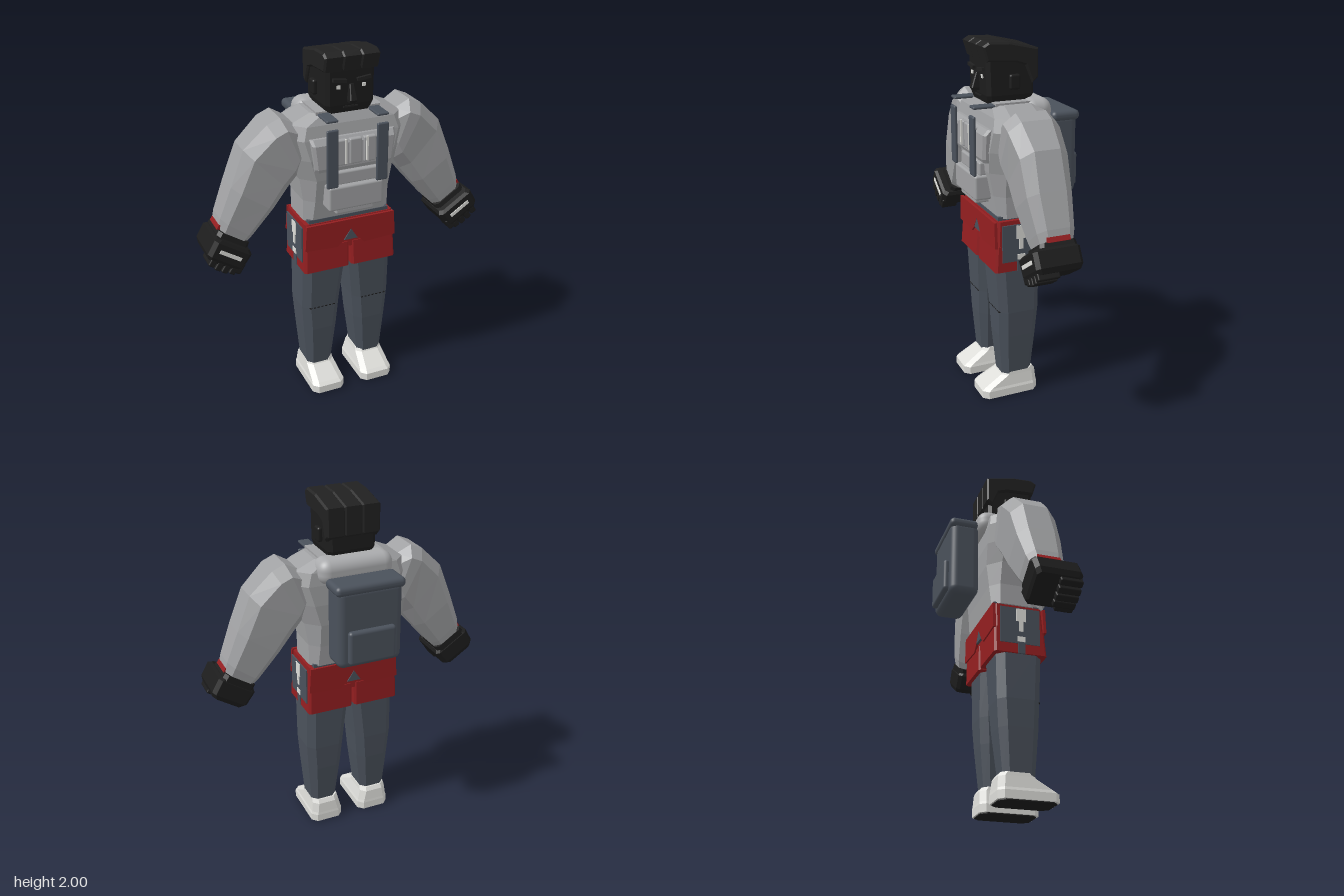
import * as THREE from 'three';
import { RoundedBoxGeometry } from 'three/addons/geometries/RoundedBoxGeometry.js';

const mat = (name, color) => {
  const m = new THREE.MeshStandardMaterial({ color });
  m.name = name;
  return m;
};

export function createModel() {
  const grey = mat('jacket grey', 0xa0a1a3);
  const pale = mat('hood grey', 0xaaabad);
  const slate = mat('slate', 0x4a515b);
  const red = mat('red', 0x931e20);
  const white = mat('off white', 0xdcdcd8);
  const black = mat('black', 0x1c1c1c);
  const hairBlack = mat('hair black', 0x212121);

  const model = new THREE.Group();
  const add = (name, geo, m, parent = model) => {
    const mesh = new THREE.Mesh(geo, m);
    mesh.name = name;
    parent.add(mesh);
    return mesh;
  };
  // box given by its limits on each axis
  const box = (name, m, x0, x1, y0, y1, z0, z1, parent, r = 0) => {
    const d = [Math.abs(x1 - x0), y1 - y0, z1 - z0];
    const geo = r ? new RoundedBoxGeometry(...d, 4, r) : new THREE.BoxGeometry(...d);
    const mesh = add(name, geo, m, parent);
    mesh.position.set((x0 + x1) / 2, (y0 + y1) / 2, (z0 + z1) / 2);
    return mesh;
  };

  // ring with cut corners between points b and a in the xy plane, spanning z0..z1
  const ring = (b, a, z0, z1, c) => {
    const A = new THREE.Vector3(a[0], a[1], 0), B = new THREE.Vector3(b[0], b[1], 0);
    const w = A.distanceTo(B), t = c / w;
    return [[z1, t], [z1, 1 - t], [z1 - c, 1], [z0 + c, 1], [z0, 1 - t], [z0, t], [z0 + c, 0], [z1 - c, 0]]
      .map(([z, k]) => { const p = B.clone().lerp(A, k); p.z = z; return p; });
  };
  // flat-faced skin over a stack of rings
  const loft = (rings) => {
    const n = 8, pos = [];
    const tri = (...p) => p.forEach((v) => pos.push(v.x, v.y, v.z));
    for (let k = 0; k < rings.length - 1; k++) {
      const p = rings[k], q = rings[k + 1];
      for (let i = 0; i < n; i++) {
        const j = (i + 1) % n;
        tri(p[i], p[j], q[j]);
        tri(p[i], q[j], q[i]);
      }
    }
    const s = rings[0], e = rings[rings.length - 1];
    for (let i = 1; i < n - 1; i++) {
      tri(s[0], s[i + 1], s[i]);
      tri(e[0], e[i], e[i + 1]);
    }
    const g = new THREE.BufferGeometry();
    g.setAttribute('position', new THREE.Float32BufferAttribute(pos, 3));
    g.computeVertexNormals();
    return g;
  };
  // level rings: [y, x0, x1, z0, z1, corner], mirrored when s is -1
  const stack = (rows, s = 1) => loft(rows.map(([y, x0, x1, z0, z1, c]) =>
    s > 0 ? ring([x0, y], [x1, y], z0, z1, c) : ring([-x1, y], [-x0, y], z0, z1, c)));

  // head, face and hair
  add('head', stack([
    [1.67, -0.12, 0.12, -0.03, 0.2, 0.02], [1.72, -0.135, 0.135, -0.05, 0.215, 0.02],
    [1.92, -0.135, 0.135, -0.05, 0.22, 0.02]]), black);
  add('nose', stack([
    [1.735, -0.02, 0.02, 0.2, 0.25, 0.006], [1.75, -0.022, 0.022, 0.2, 0.26, 0.006],
    [1.83, -0.012, 0.012, 0.2, 0.23, 0.004]]), black);
  box('mouth', hairBlack, -0.04, 0.04, 1.705, 1.713, 0.21, 0.218);
  const hairSide = new THREE.Shape([[0.215, 1.91], [0.235, 1.975], [0.21, 1.99], [0.1, 1.985], [-0.055, 1.95],
    [-0.055, 1.81], [-0.035, 1.79], [0, 1.88], [0.06, 1.9]].map((p) => new THREE.Vector2(...p)));
  for (const x of [-0.1, 0, 0.1]) {
    const g = new THREE.ExtrudeGeometry(hairSide, {
      depth: 0.084, bevelEnabled: true, bevelSegments: 1, bevelSize: 0.01, bevelThickness: 0.01 });
    g.translate(0, 0, -0.042);
    g.rotateY(-Math.PI / 2);
    add('hairSection', g, hairBlack).position.x = x;
  }

  // jacket body and collar
  add('jacket', stack([
    [1.08, -0.25, 0.25, -0.06, 0.2, 0.04], [1.2, -0.25, 0.25, -0.07, 0.215, 0.05],
    [1.33, -0.27, 0.27, -0.085, 0.24, 0.07], [1.45, -0.315, 0.315, -0.09, 0.25, 0.08],
    [1.56, -0.345, 0.345, -0.085, 0.24, 0.08], [1.63, -0.315, 0.315, -0.075, 0.225, 0.07],
    [1.68, -0.2, 0.2, -0.05, 0.2, 0.05]]), grey);
  box('hood', pale, -0.213, 0.213, 1.56, 1.7, -0.13, 0.03, model, 0.06);
  box('collar', grey, -0.18, 0.18, 1.64, 1.69, -0.05, 0.19);
  box('belt', slate, -0.235, 0.235, 1.03, 1.09, -0.055, 0.205);

  // chest panel and pouches
  add('chestPanel', stack([
    [1.39, -0.215, 0.215, 0.2, 0.27, 0.015], [1.41, -0.22, 0.22, 0.2, 0.28, 0.015],
    [1.54, -0.235, 0.235, 0.2, 0.28, 0.015], [1.57, -0.24, 0.24, 0.2, 0.255, 0.015]]), grey);
  for (const x of [-0.08, 0, 0.08])
    box('chestPocket', grey, x - 0.035, x + 0.035, 1.42, 1.56, 0.26, 0.29, model, 0.008);
  box('middlePouch', grey, -0.14, 0.14, 1.3, 1.375, 0.2, 0.27, model, 0.01);
  box('lowerPouch', grey, -0.155, 0.155, 1.17, 1.305, 0.2, 0.3, model, 0.012);
  box('lowerTab', grey, -0.11, 0.11, 1.14, 1.175, 0.19, 0.285, model, 0.01);

  // backpack
  box('backpack', slate, -0.185, 0.185, 1.15, 1.6, -0.285, -0.12, model, 0.04);
  box('backpackLid', slate, -0.197, 0.197, 1.565, 1.62, -0.293, -0.13, model, 0.025);
  box('backpackPocket', slate, -0.135, 0.135, 1.18, 1.37, -0.313, -0.27, model, 0.018);

  // hips: flaps with a notch, front and back
  add('hips', stack([
    [0.9, -0.265, 0.265, -0.055, 0.222, 0.012], [1.07, -0.258, 0.258, -0.055, 0.212, 0.012]]), red);
  const flap = new THREE.Shape([[-0.268, 0.925], [-0.08, 0.915], [-0.05, 0.945], [0, 1.015], [0.05, 0.945],
    [0.08, 0.915], [0.268, 0.925], [0.258, 1.07], [-0.258, 1.07]].map((p) => new THREE.Vector2(...p)));
  const notch = new THREE.Shape([[-0.04, 0.95], [0.04, 0.95], [0, 1.012]].map((p) => new THREE.Vector2(...p)));
  for (const z of [0.22, -0.068]) {
    add('shortsFlap', new THREE.ExtrudeGeometry(flap, { depth: 0.016, bevelEnabled: false }), red).position.z = z;
    add('shortsNotch', new THREE.ExtrudeGeometry(notch, { depth: 0.018, bevelEnabled: false }), slate).position.z = z - 0.001;
  }

  for (const s of [1, -1]) {
    // ear, eye and brow
    box('ear', black, s * 0.13, s * 0.16, 1.75, 1.83, 0.04, 0.1, model, 0.012);
    box('eye', white, s * 0.06, s * 0.08, 1.808, 1.826, 0.218, 0.224);
    box('brow', hairBlack, s * 0.03, s * 0.105, 1.845, 1.862, 0.21, 0.235).rotation.z = s * 0.12;

    // shoulder straps and pins
    box('frontStrap', slate, s * 0.108, s * 0.173, 1.31, 1.63, 0.297, 0.315, model, 0.008);
    box('topStrap', slate, s * 0.108, s * 0.173, 1.667, 1.682, 0.06, 0.31, model, 0.007);
    box('pin', white, s * 0.055, s * 0.065, 1.43, 1.565, 0.29, 0.3);

    // sleeve, rings from wrist to shoulder
    add('sleeve', loft([
      [[0.57, 1.0], [0.715, 1.115], -0.01, 0.17, 0.035],
      [[0.53, 1.04], [0.7, 1.17], -0.025, 0.18, 0.04],
      [[0.41, 1.18], [0.635, 1.34], -0.045, 0.2, 0.05],
      [[0.33, 1.28], [0.56, 1.53], -0.055, 0.205, 0.06],
      [[0.28, 1.35], [0.435, 1.65], -0.065, 0.22, 0.06],
      [[0.26, 1.4], [0.365, 1.68], -0.065, 0.22, 0.06],
      [[0.23, 1.45], [0.285, 1.635], -0.04, 0.2, 0.05],
    ].map(([b, a, ...r]) => s > 0 ? ring(b, a, ...r) : ring([-a[0], a[1]], [-b[0], b[1]], ...r))), grey);

    // gloved hand
    const hand = new THREE.Group();
    hand.name = 'hand';
    hand.position.set(s * 0.64, 1.06, 0);
    hand.rotation.z = s * 0.58;
    model.add(hand);
    add('cuff', stack([[-0.06, -0.1, 0.1, -0.02, 0.2, 0.02], [0.005, -0.095, 0.095, -0.015, 0.18, 0.02]]), black, hand);
    add('palm', stack([[-0.145, -0.09, 0.09, -0.01, 0.225, 0.02], [-0.12, -0.11, 0.11, -0.02, 0.235, 0.02],
      [-0.035, -0.115, 0.115, -0.02, 0.235, 0.02], [-0.02, -0.1, 0.1, -0.01, 0.22, 0.02]]), black, hand);
    for (let i = 0; i < 4; i++) {
      const x = -0.063 + i * 0.042;
      box('finger', black, x - 0.018, x + 0.018, -0.185 + Math.abs(i - 1.5) * 0.008, -0.13, 0.11, 0.23, hand, 0.008);
    }
    box('thumb', black, s * -0.11, s * -0.065, -0.16, -0.09, 0.13, 0.23, hand, 0.01);
    box('knuckleStripe', white, -0.065, 0.065, -0.085, -0.065, 0.233, 0.24, hand);
    box('wristBand', red, s * 0.06, s * 0.1, 0, 0.028, 0.02, 0.145, hand);

    // shorts leg with side panel
    add('shortsLeg', stack([[0.785, 0.008, 0.272, -0.062, 0.235, 0.012],
      [0.93, 0.006, 0.266, -0.06, 0.225, 0.012]], s), red);
    box('sidePanel', slate, s * 0.266, s * 0.274, 0.84, 1.05, -0.03, 0.195);
    box('sideSlit', slate, s * 0.266, s * 0.275, 0.783, 0.845, 0.07, 0.11);
    for (const [y0, y1, z0, z1] of [[0.97, 1.045, 0.06, 0.115], [0.91, 0.97, 0.075, 0.1], [0.85, 0.88, 0.065, 0.11]])
      box('sideStripe', white, s * 0.272, s * 0.278, y0, y1, z0, z1);

    // trouser leg
    add('trouserLeg', stack([
      [0.13, 0.085, 0.235, 0, 0.175, 0.03], [0.38, 0.055, 0.255, -0.025, 0.195, 0.04],
      [0.53, 0.042, 0.265, -0.035, 0.2, 0.04], [0.8, 0.012, 0.262, -0.04, 0.215, 0.04],
      [0.92, 0.012, 0.25, -0.04, 0.2, 0.04]], s), slate);
    for (let i = 0; i < 7; i++) {
      const x = 0.082 + i * 0.023;
      box('kneeStitch', black, s * x, s * (x + 0.013), 0.528, 0.534, 0.195, 0.202);
    }

    // shoe
    add('shoe', stack([
      [0.006, 0.055, 0.25, -0.032, 0.3, 0.03], [0.05, 0.055, 0.25, -0.032, 0.3, 0.03],
      [0.065, 0.06, 0.245, -0.03, 0.28, 0.03], [0.125, 0.075, 0.238, -0.025, 0.18, 0.03],
      [0.147, 0.078, 0.236, -0.01, 0.165, 0.03]], s), white);
    add('sole', stack([[0, 0.065, 0.24, -0.022, 0.29, 0.03], [0.008, 0.065, 0.24, -0.022, 0.29, 0.03]], s), black);
  }
  return model;
}
